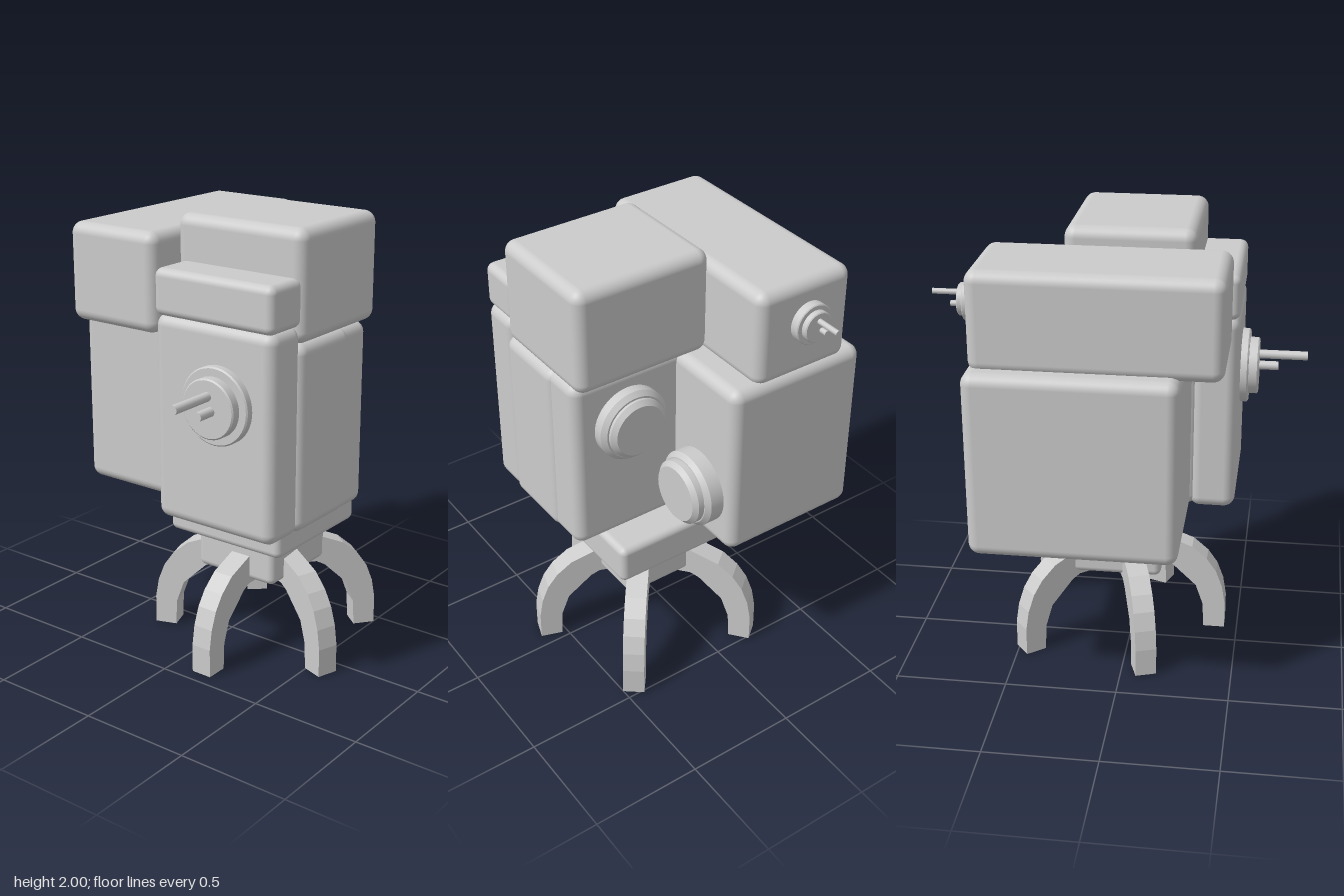
import * as THREE from 'three';
import { RoundedBoxGeometry } from 'three/addons/geometries/RoundedBoxGeometry.js';

const material = new THREE.MeshStandardMaterial({ color: 0xcccccc });

function add(parent, name, geometry) {
  const mesh = new THREE.Mesh(geometry, material);
  mesh.name = name;
  parent.add(mesh);
  return mesh;
}

// Soft-edged box given by its extents on each axis
function softBox(parent, name, [x0, x1], [y0, y1], [z0, z1], radius = 0.05) {
  const box = add(parent, name, new RoundedBoxGeometry(x1 - x0, y1 - y0, z1 - z0, 5, radius));
  box.position.set((x0 + x1) / 2, (y0 + y1) / 2, (z0 + z1) / 2);
}

// Bevelled disc standing on its base along +z
function disc(parent, name, radius, z0, z1, bevel) {
  const points = [[0, z0], [radius, z0], [radius, z1 - bevel], [radius - bevel, z1], [0, z1]];
  // repeated corners keep the rims sharp
  const profile = points.flatMap(([r, y]) => [new THREE.Vector2(r, y), new THREE.Vector2(r, y)]);
  add(parent, name, new THREE.LatheGeometry(profile, 48).rotateX(Math.PI / 2));
}

// Two stacked discs
function dial(parent, name, outer, inner, step, height, bevel) {
  const group = new THREE.Group();
  group.name = name;
  disc(group, 'dialBase', outer, -0.03, step, bevel);
  disc(group, 'dialCap', inner, 0, height, bevel);
  parent.add(group);
  return group;
}

function pin(parent, x, y, z0, z1, radius) {
  const rod = add(parent, 'pin', new THREE.CylinderGeometry(radius, radius, z1 - z0, 20).rotateX(Math.PI / 2));
  rod.position.set(x, y, (z0 + z1) / 2);
}

// Arched leg profile: x runs outward from the foot centre, y is up
function legGeometry() {
  const outline = [
    [-0.05, 0], [0.05, 0], [0.05, 0.13], [0.035, 0.22], [0.005, 0.3], [-0.04, 0.365],
    [-0.11, 0.425], [-0.25, 0.48], [-0.46, 0.48], [-0.46, 0.345], [-0.24, 0.345],
    [-0.2, 0.325], [-0.09, 0.22], [-0.055, 0.12],
  ];
  const shape = new THREE.Shape(outline.map(([x, y]) => new THREE.Vector2(x, y)));
  const width = 0.096;
  return new THREE.ExtrudeGeometry(shape, { depth: width, bevelEnabled: false }).translate(0, 0, -width / 2);
}

export function createModel() {
  const model = new THREE.Group();
  model.name = 'boxMachine';

  // Body blocks
  softBox(model, 'mainBody', [-0.62, 0.05], [0.71, 1.53], [-0.615, 0.275]);
  softBox(model, 'upperLongBlock', [-0.54, -0.07], [1.505, 1.935], [-0.6, 0.445]);
  softBox(model, 'upperCube', [-0.075, 0.565], [1.53, 2], [-0.275, 0.29]);
  softBox(model, 'frontPanel', [-0.05, 0.555], [0.715, 1.615], [0.27, 0.475]);
  softBox(model, 'frontDrawer', [-0.05, 0.55], [1.605, 1.805], [0.26, 0.475], 0.035);
  softBox(model, 'sideBlock', [-0.05, 0.57], [0.72, 1.54], [-0.07, 0.305]);
  softBox(model, 'rearBlock', [-0.05, 0.56], [0.715, 1.54], [-0.215, 0.15]);

  // Stepped pedestal
  softBox(model, 'pedestalPlate', [-0.17, 0.43], [0.545, 0.725], [-0.36, 0.24], 0.03);
  softBox(model, 'pedestalHub', [-0.08, 0.335], [0.36, 0.57], [-0.27, 0.15], 0.03);

  // Front dial with two pins
  const frontDial = dial(model, 'frontDial', 0.167, 0.128, 0.035, 0.078, 0.006);
  frontDial.position.set(0.29, 1.285, 0.475);
  pin(frontDial, 0, 0.055, 0.05, 0.295, 0.02);
  pin(frontDial, 0.017, -0.005, 0.05, 0.165, 0.02);

  // Small dial on the back of the upper block
  const smallDial = dial(model, 'smallBackDial', 0.09, 0.068, 0.04, 0.066, 0.004);
  smallDial.position.set(-0.32, 1.75, -0.6);
  smallDial.rotation.y = Math.PI;
  pin(smallDial, 0, 0.03, 0.04, 0.178, 0.012);
  pin(smallDial, 0.014, -0.015, 0.04, 0.1, 0.012);

  // Knobs in the rear corner
  const rearKnob = dial(model, 'rearKnob', 0.165, 0.137, 0.065, 0.097, 0.02);
  rearKnob.position.set(0.295, 1.29, -0.213);
  rearKnob.rotation.y = Math.PI;
  const sideKnob = dial(model, 'sideKnob', 0.17, 0.145, 0.085, 0.132, 0.02);
  sideKnob.position.set(0.048, 0.96, -0.395);
  sideKnob.rotation.y = Math.PI / 2;

  // Five legs: foot x, foot z, heading in degrees from the front
  const geometry = legGeometry();
  const feet = [
    [0.16, 0.39, 0], [0.557, 0.09, 71], [-0.297, 0.1, -71],
    [0.432, -0.443, 141], [-0.178, -0.443, -141],
  ];
  for (const [x, z, heading] of feet) {
    const leg = add(model, 'leg', geometry);
    leg.position.set(x, 0, z);
    leg.rotation.y = THREE.MathUtils.degToRad(heading - 90);
  }
  return model;
}
